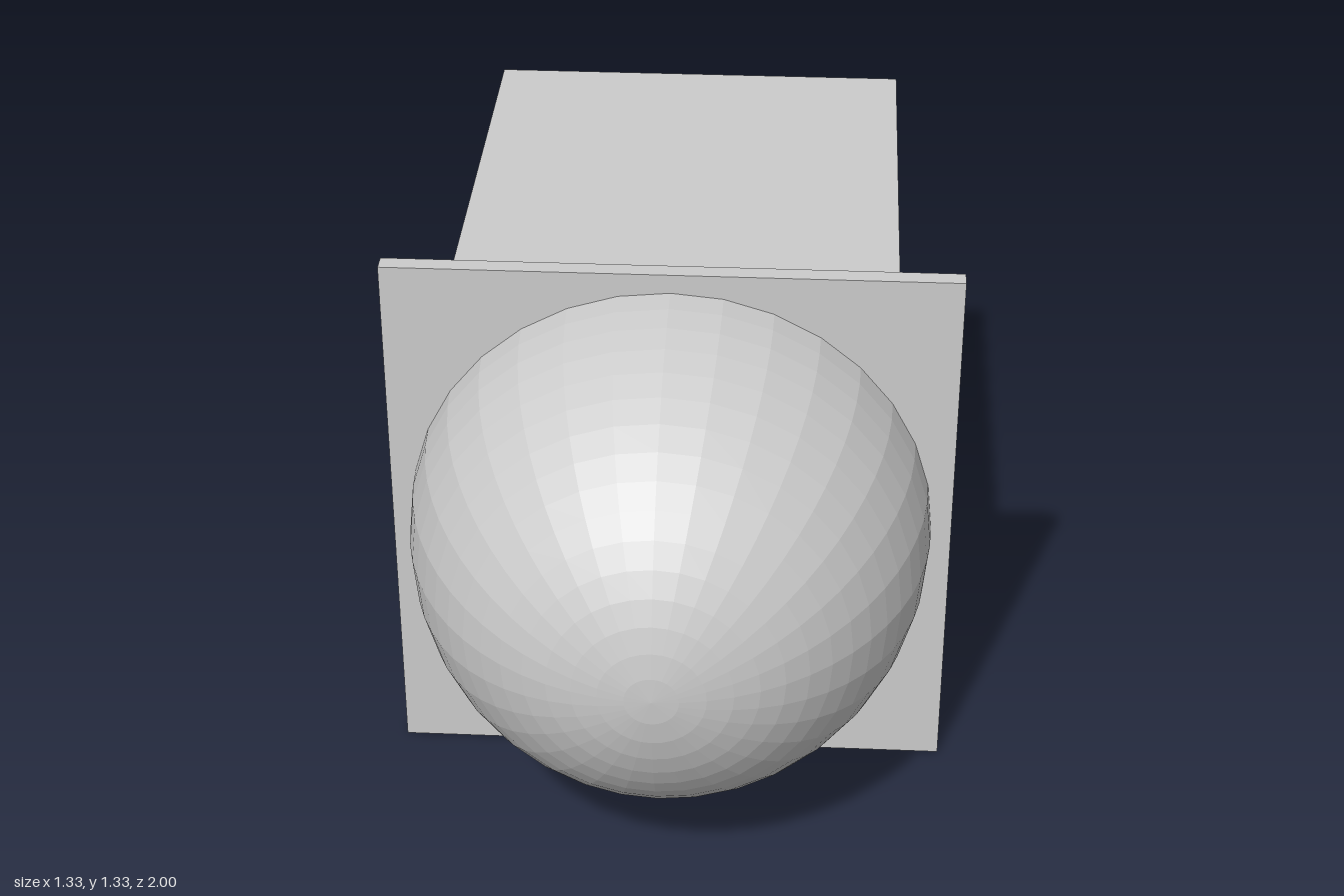
import * as THREE from 'three';

export function createModel() {
  const group = new THREE.Group();
  const material = new THREE.MeshStandardMaterial({ color: 0xcccccc });
  const facetedMaterial = new THREE.MeshStandardMaterial({ color: 0xcccccc, flatShading: true });

  // Adds a box given its minimum and maximum corners
  const addBox = (name, [x0, y0, z0], [x1, y1, z1]) => {
    const mesh = new THREE.Mesh(new THREE.BoxGeometry(x1 - x0, y1 - y0, z1 - z0), material);
    mesh.position.set((x0 + x1) / 2, (y0 + y1) / 2, (z0 + z1) / 2);
    mesh.name = name;
    group.add(mesh);
  };

  // Housing behind the mounting plate
  addBox('housing', [-0.522, 0.148, -1], [0.522, 1.24, 0.25]);
  addBox('mountingPlate', [-0.665, 0, 0.24], [0.665, 1.33, 0.285]);

  // Thin panel lying almost flush on the left side of the housing
  addBox('sidePanel', [0.51, 0.575, -0.14], [0.524, 0.715, 0.1]);

  // Faceted half-ellipsoid dome, its pole facing forward
  const domeGeometry = new THREE.SphereGeometry(1, 32, 16, 0, Math.PI * 2, 0, Math.PI / 2);
  domeGeometry.rotateX(Math.PI / 2);
  domeGeometry.scale(0.617, 0.617, 0.717);
  const dome = new THREE.Mesh(domeGeometry, facetedMaterial);
  dome.position.set(0, 0.667, 0.283);
  dome.name = 'dome';
  group.add(dome);

  return group;
}
